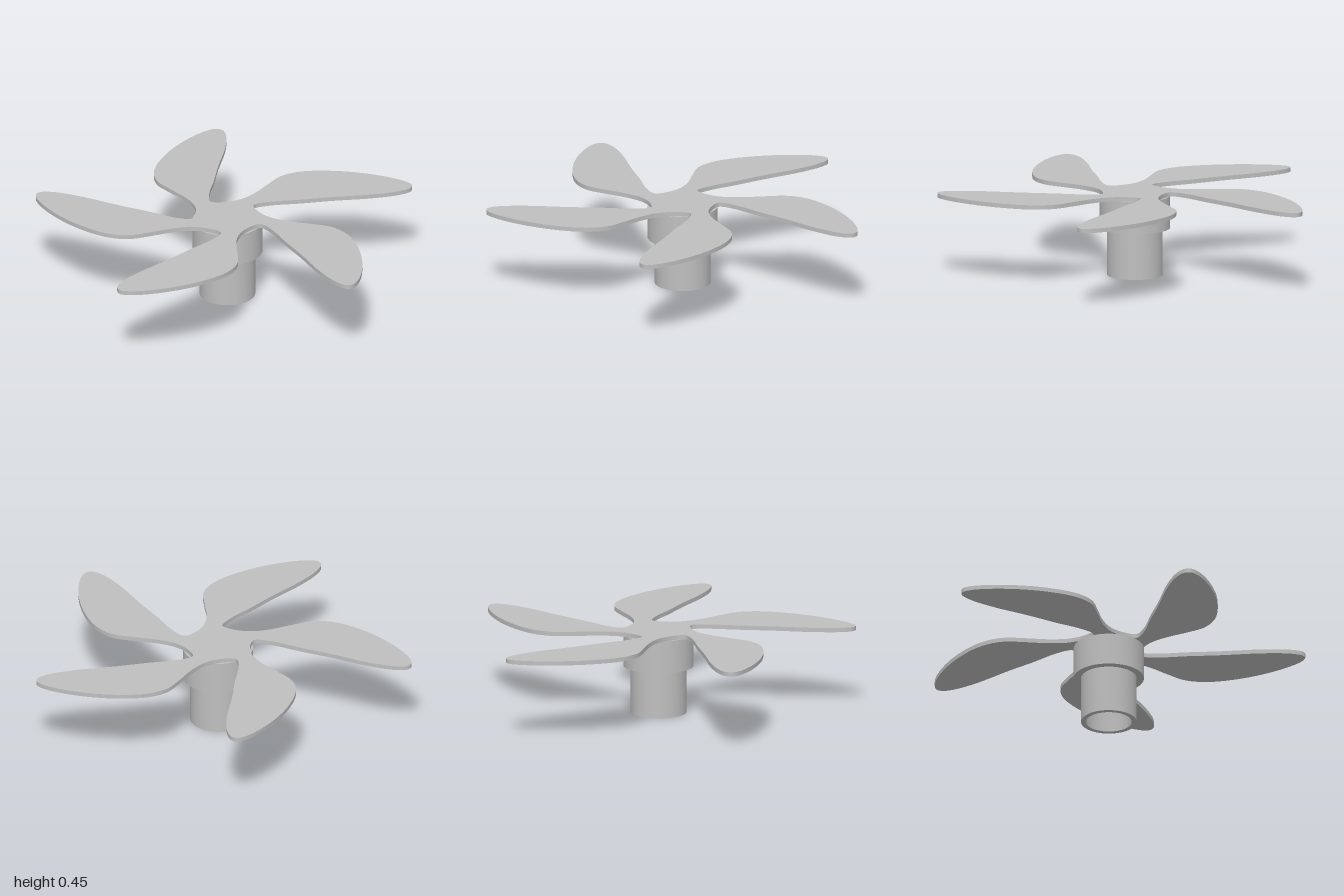
import * as THREE from 'three';
import { toCreasedNormals } from 'three/addons/utils/BufferGeometryUtils.js';

const HUB_X = 0.032, HUB_Z = -0.059;
const BLADES = 5;
const PLATE_BOTTOM = 0.43, PLATE_TOP = 0.453;

// Outline of one blade (x, z), from its notch at the hub around the tip to the next notch
const BLADE = [
  [-0.13, 0.05], [-0.152, 0.064], [-0.25, 0.075], [-0.37, 0.07], [-0.55, 0.071],
  [-0.78, 0.064], [-0.92, 0.078], [-0.985, 0.105], [-1.0, 0.138], [-0.975, 0.185],
  [-0.86, 0.275], [-0.66, 0.367], [-0.46, 0.402], [-0.34, 0.37], [-0.25, 0.285],
  [-0.17, 0.2], [-0.09, 0.14], [-0.02, 0.117], [0.06, 0.117],
];

// Repeat the blade outline around the hub and smooth it into one closed shape
function propellerShape() {
  const points = [];
  for (let i = 0; i < BLADES; i++) {
    const a = (i * 2 * Math.PI) / BLADES;
    for (const [x, z] of BLADE) {
      const p = new THREE.Vector2(x - HUB_X, HUB_Z - z).rotateAround(new THREE.Vector2(), a);
      points.push(new THREE.Vector3(p.x, p.y, 0));
    }
  }
  const curve = new THREE.CatmullRomCurve3(points, true, 'centripetal');
  const outline = curve.getPoints(points.length * 6).slice(0, -1);
  return new THREE.Shape(outline.map((p) => new THREE.Vector2(p.x, p.y)));
}

export function createModel() {
  const grey = new THREE.MeshStandardMaterial({ color: 0xbfbfbf });
  grey.name = 'grey';
  const model = new THREE.Group();
  model.name = 'propeller';

  // Flat five-bladed plate
  const plate = new THREE.ExtrudeGeometry(propellerShape(), {
    depth: PLATE_TOP - PLATE_BOTTOM, bevelEnabled: false,
  });
  plate.rotateX(-Math.PI / 2);
  const blades = new THREE.Mesh(toCreasedNormals(plate, 0.6), grey);
  blades.name = 'blades';
  blades.position.set(HUB_X, PLATE_BOTTOM, HUB_Z);
  model.add(blades);

  // Stepped hollow hub: narrow sleeve below, wider collar above, closed by the plate
  const profile = [
    [0, PLATE_BOTTOM - 0.002], [0.122, PLATE_BOTTOM - 0.002], [0.122, 0], [0.148, 0],
    [0.148, 0.255], [0.187, 0.255], [0.187, PLATE_BOTTOM], [0, PLATE_BOTTOM],
  ].map(([r, y]) => new THREE.Vector2(r, y));
  const hub = new THREE.Mesh(toCreasedNormals(new THREE.LatheGeometry(profile, 64), 0.6), grey);
  hub.name = 'hub';
  hub.position.set(HUB_X, 0, HUB_Z);
  model.add(hub);

  return model;
}
